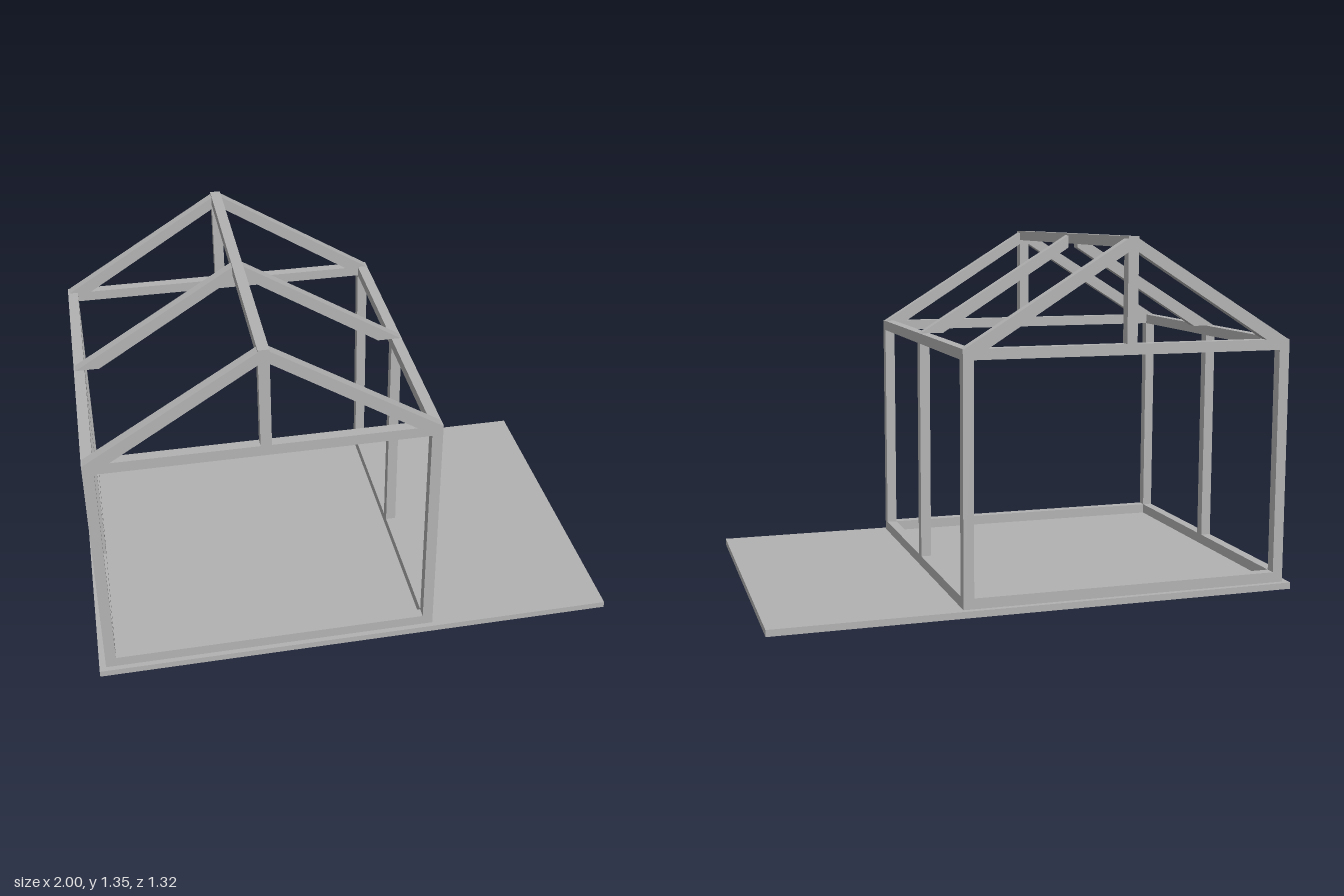
import * as THREE from 'three';

const CX = -0.34;   // centre line of the frame
const HX = 0.615;   // half span to post centres
const HZ = 0.62;    // half depth to post centres
const T = 0.04;     // timber thickness
const BASE = 0.025, EAVE = 0.96, RIDGE = 1.345;

export function createModel() {
  const model = new THREE.Group();
  model.name = 'houseFrame';
  const grey = new THREE.MeshStandardMaterial({ color: 0xb2b2b2 });
  grey.name = 'grey';

  const add = (name, geometry, x, y, z) => {
    const mesh = new THREE.Mesh(geometry, grey);
    mesh.name = name;
    mesh.position.set(x, y, z);
    model.add(mesh);
  };
  const box = (name, w, h, d, x, y, z) => add(name, new THREE.BoxGeometry(w, h, d), x, y, z);

  // Ground slab
  box('slab', 2, BASE, 1.32, 0, BASE / 2, 0);

  // Posts: three along each side
  for (const sx of [-1, 1]) {
    for (const sz of [-1, 0, 1]) {
      box('post', T, EAVE - BASE, T, CX + sx * HX, (EAVE + BASE) / 2, sz * HZ);
    }
  }

  // Sills and top plates, fitted between the posts
  for (const [name, y] of [['sill', BASE + T / 2], ['topPlate', EAVE - T / 2]]) {
    for (const s of [-1, 1]) {
      box(name + 'Cross', 2 * HX - T, T, T, CX, y, s * HZ);
      for (const half of [-1, 1]) {
        box(name + 'Side', T, T, HZ - T, CX + s * HX, y, half * HZ / 2);
      }
    }
  }

  // Ridge beam and gable king posts
  box('ridgeBeam', T, T, 2 * HZ + T, CX, RIDGE - T / 2, 0);
  for (const s of [-1, 1]) {
    box('kingPost', T, RIDGE - T - EAVE, T, CX, (RIDGE - T + EAVE) / 2, s * HZ);
  }

  // Rafters: sloped timbers cut level at the foot and plumb at the ridge
  for (const s of [-1, 1]) {
    const outline = [[0.54, EAVE], [0.63, EAVE], [0.02, 1.337], [0.02, 1.288]];
    const shape = new THREE.Shape(outline.map(([x, y]) => new THREE.Vector2(s * x, y)));
    const geometry = new THREE.ExtrudeGeometry(shape, { depth: T, bevelEnabled: false });
    for (const sz of [-1, 0, 1]) add('rafter', geometry, CX, 0, sz * HZ - T / 2);
  }

  return model;
}
